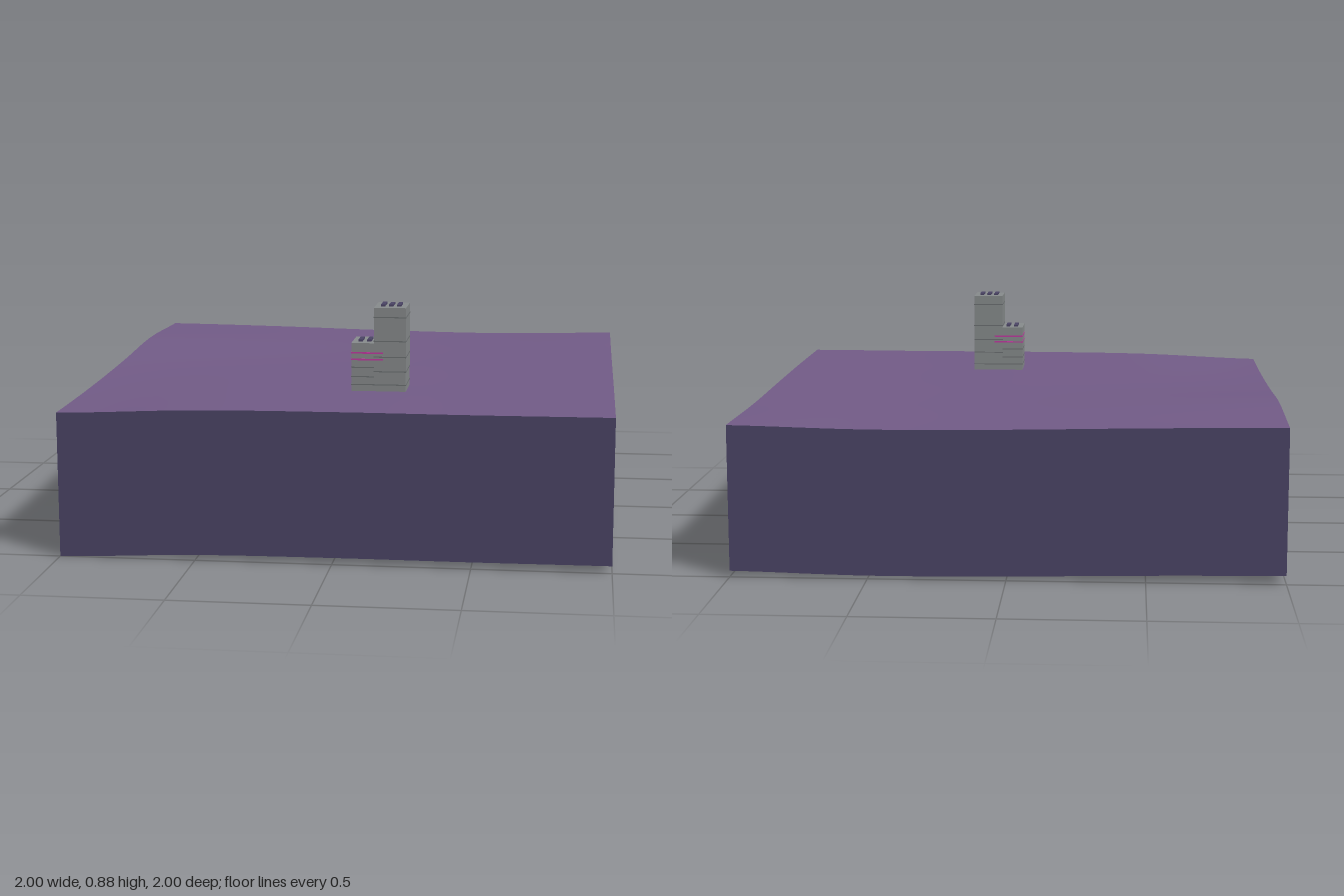
import * as THREE from 'three';

const mat = (name, color, side = THREE.FrontSide) => {
  const m = new THREE.MeshStandardMaterial({ color, side });
  m.name = name;
  return m;
};

// Ground heights on a 5 x 5 grid: rows run from back to front, columns along x
const HEIGHTS = [
  [0.567, 0.561, 0.551, 0.547, 0.558],
  [0.578, 0.570, 0.558, 0.552, 0.553],
  [0.556, 0.558, 0.560, 0.558, 0.558],
  [0.541, 0.556, 0.560, 0.560, 0.562],
  [0.535, 0.555, 0.560, 0.560, 0.562],
];

// Smooth curve through five evenly spaced values, t from -1 to 1
function smooth(values, t) {
  const s = THREE.MathUtils.clamp((t + 1) * 2, 0, 4);
  const i = Math.min(3, Math.floor(s)), f = s - i;
  const p = (k) => values[THREE.MathUtils.clamp(k, 0, 4)];
  const m0 = (p(i + 1) - p(i - 1)) / 2, m1 = (p(i + 2) - p(i)) / 2;
  const f2 = f * f, f3 = f2 * f;
  return (2 * f3 - 3 * f2 + 1) * p(i) + (f3 - 2 * f2 + f) * m0
    + (3 * f2 - 2 * f3) * p(i + 1) + (f3 - f2) * m1;
}
const groundHeight = (x, z) => smooth(HEIGHTS.map((row) => smooth(row, x)), z);

// Lift every vertex by the ground height at its place
function drape(geometry) {
  const p = geometry.attributes.position;
  for (let i = 0; i < p.count; i++) {
    p.setY(i, p.getY(i) + groundHeight(p.getX(i), p.getZ(i)));
  }
  return geometry;
}

export function createModel() {
  const model = new THREE.Group();
  model.name = 'terrainTile';
  const grass = mat('groundPurple', 0x735c88, THREE.DoubleSide);
  const earth = mat('earthIndigo', 0x4c4567, THREE.DoubleSide);
  const concrete = mat('concreteGrey', 0x888c8d);
  const bandGrey = mat('bandGrey', 0x6c7072);
  const magenta = mat('bandMagenta', 0xc23aa2);

  const add = (parent, name, geometry, material) => {
    const mesh = new THREE.Mesh(geometry, material);
    mesh.name = name;
    parent.add(mesh);
    return mesh;
  };
  // Box given by its two opposite corners
  const block = (parent, name, [x0, y0, z0], [x1, y1, z1], material) =>
    add(parent, name, new THREE.BoxGeometry(x1 - x0, y1 - y0, z1 - z0), material)
      .position.set((x0 + x1) / 2, (y0 + y1) / 2, (z0 + z1) / 2);

  // Rolling ground
  const ground = drape(new THREE.PlaneGeometry(2, 2, 32, 32).rotateX(-Math.PI / 2));
  ground.computeVertexNormals();
  add(model, 'ground', ground, grass);

  // Four side walls of even depth, following the ground edge; open underneath
  const depth = 0.534;
  ['frontWall', 'leftWall', 'backWall', 'rightWall'].forEach((name, i) => {
    const wall = new THREE.PlaneGeometry(2, depth, 32, 1)
      .translate(0, -depth / 2, 1).rotateY(i * Math.PI / 2);
    add(model, name, drape(wall), earth);
  });

  // Two joined buildings with floor bands and roof slats
  const z0 = 0.42, z1 = 0.58, base = 0.55, lip = 0.001;
  const buildings = [
    { name: 'lowBuilding', x0: 0.02, x1: 0.105, top: 0.742, slats: [0.05, 0.083],
      grey: [0.585, 0.615, 0.65], pink: [0.68, 0.705] },
    { name: 'tallBuilding', x0: 0.105, x1: 0.225, top: 0.876, slats: [0.135, 0.165, 0.195],
      grey: [0.585, 0.635, 0.69, 0.75, 0.84], pink: [] },
  ];
  for (const b of buildings) {
    const group = new THREE.Group();
    group.name = b.name;
    model.add(group);
    block(group, 'tower', [b.x0, base, z0], [b.x1, b.top, z1], concrete);
    for (const y of b.grey) {
      block(group, 'floorBand', [b.x0 - lip, y - 0.002, z0 - lip],
        [b.x1 + lip, y + 0.002, z1 + lip], bandGrey);
    }
    for (const y of b.pink) {
      block(group, 'brightBand', [b.x0 - lip, y - 0.003, z0 - 1.5 * lip],
        [0.14, y + 0.003, z1 + 1.5 * lip], magenta);
    }
    for (const x of b.slats) {
      block(group, 'roofSlat', [x - 0.008, b.top, 0.46], [x + 0.008, b.top + 0.007, 0.54], earth);
    }
  }
  return model;
}
